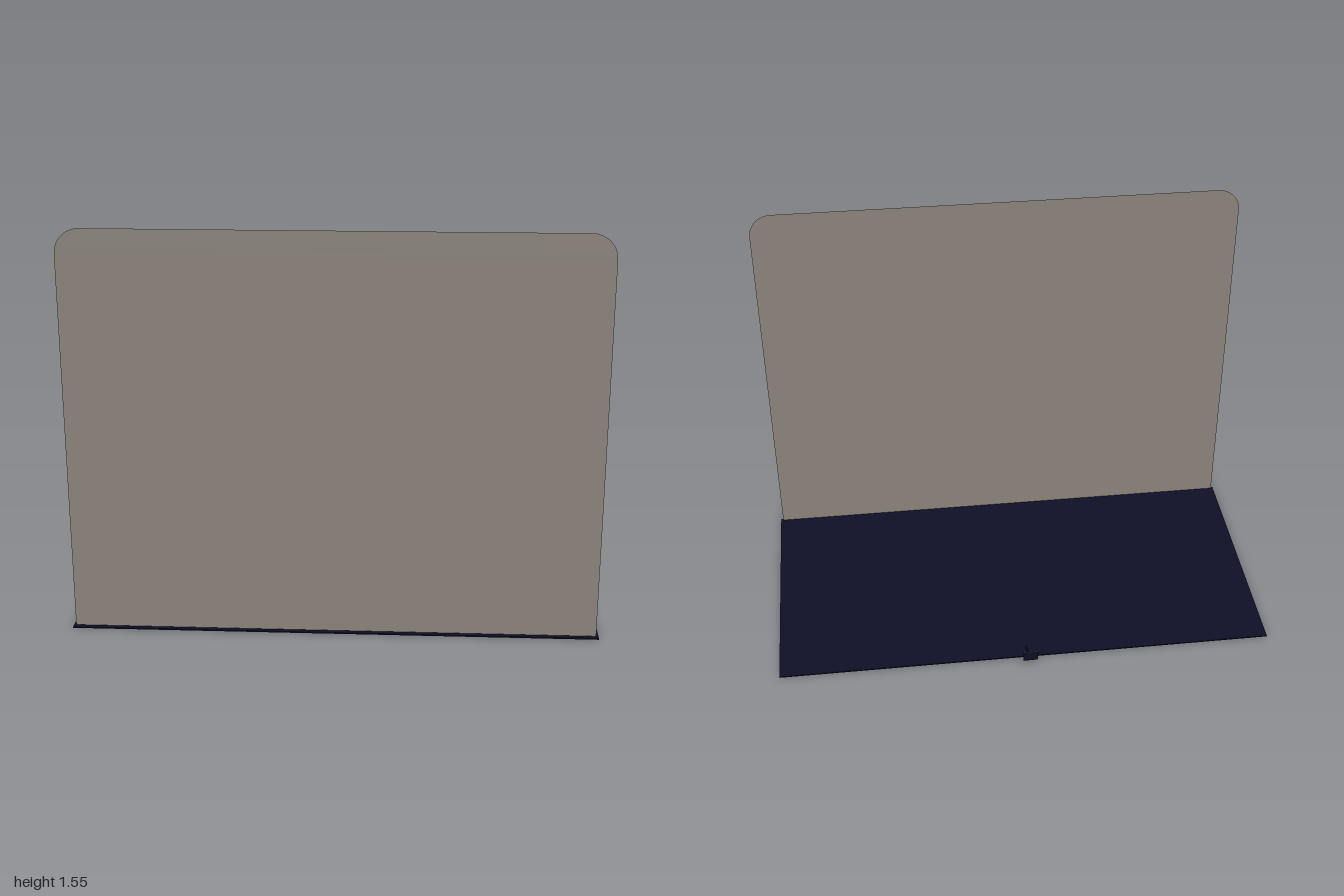
import * as THREE from 'three';

const panelGrey = new THREE.MeshStandardMaterial({ color: 0x8a837b, side: THREE.DoubleSide });
panelGrey.name = 'warm grey';
const navy = new THREE.MeshStandardMaterial({ color: 0x0f0f28 });
navy.name = 'dark navy';

function part(name, geometry, material) {
  const mesh = new THREE.Mesh(geometry, material);
  mesh.name = name;
  return mesh;
}

// Side profile given as [z, y] points, extruded symmetrically across x
function sideProfile(points, width) {
  const shape = new THREE.Shape(points.map(([z, y]) => new THREE.Vector2(z, y)));
  return new THREE.ExtrudeGeometry(shape, { depth: width, bevelEnabled: false })
    .translate(0, 0, -width / 2)
    .rotateY(-Math.PI / 2);
}

// Upright sheet with the two top corners rounded
function panelShape(half, bottom, top, r) {
  const s = new THREE.Shape();
  s.moveTo(-half, bottom);
  s.lineTo(half, bottom);
  s.lineTo(half, top - r);
  s.absarc(half - r, top - r, r, 0, Math.PI / 2);
  s.lineTo(-half + r, top);
  s.absarc(-half + r, top - r, r, Math.PI / 2, Math.PI);
  s.closePath();
  return s;
}

export function createModel() {
  const group = new THREE.Group();

  // Thin base plate
  group.add(part('basePlate', new THREE.BoxGeometry(2, 0.005, 1).translate(0, 0.0025, 0.06), navy));

  // Upright panel along the front edge
  const panel = new THREE.ShapeGeometry(panelShape(0.99, 0.008, 1.55, 0.093), 10);
  group.add(part('uprightPanel', panel.translate(0, 0, 0.548), panelGrey));

  // Thin arm sloping up behind the plate
  const arm = [[-0.408, 0.025], [-0.407, 0.03], [-0.548, 0.1], [-0.55, 0.095]];
  group.add(part('rearArm', sideProfile(arm, 0.008), navy));

  // Small wedge-shaped paddle at the end of the arm
  const paddle = [[-0.542, 0.094], [-0.54, 0.108], [-0.558, 0.145], [-0.561, 0.143], [-0.557, 0.1], [-0.551, 0.091]];
  group.add(part('rearPaddle', sideProfile(paddle, 0.056), navy));

  return group;
}
